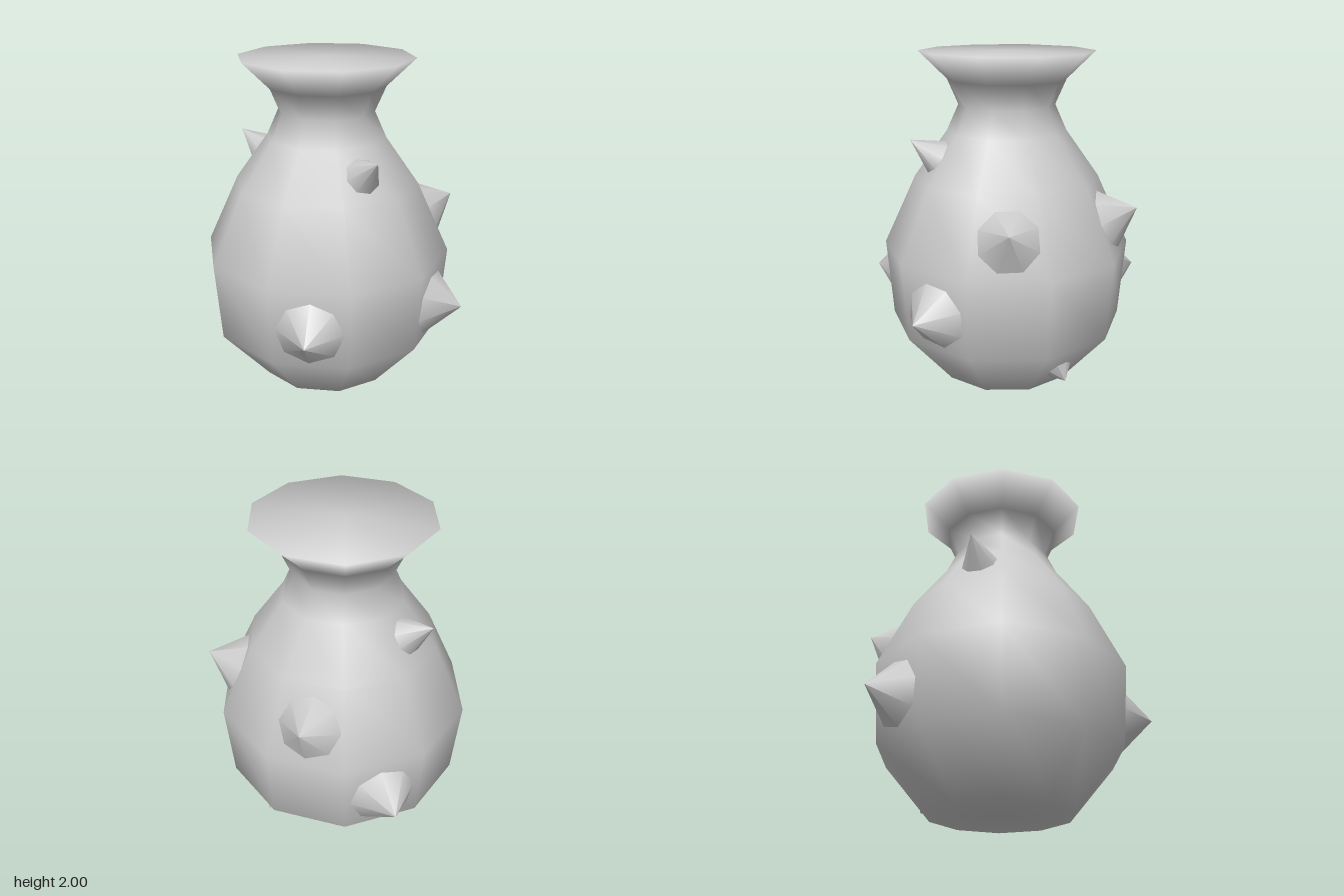
import * as THREE from 'three';
import { mergeVertices } from 'three/addons/utils/BufferGeometryUtils.js';

const rad = THREE.MathUtils.degToRad;
const SIDES = 10;
const CENTRE = new THREE.Vector3(-0.05, 0, -0.057);

// Weld a geometry so shading flows smoothly over every edge
function smooth(geometry) {
  geometry.deleteAttribute('uv');
  geometry.deleteAttribute('normal');
  const welded = mergeVertices(geometry, 1e-4);
  welded.computeVertexNormals();
  return welded;
}

export function createModel() {
  const model = new THREE.Group();
  model.name = 'spikedVase';
  const material = new THREE.MeshStandardMaterial({ color: 0xcccccc, side: THREE.DoubleSide });

  // Ten-sided pot with pinched neck and flared, closed mouth
  const profile = [
    [0, 0], [0.425, 0], [0.72, 0.345], [0.757, 0.825], [0.56, 1.25],
    [0.36, 1.53], [0.29, 1.685], [0.355, 1.835], [0.525, 2], [0, 2],
  ].map(([r, y]) => new THREE.Vector2(r, y));
  const body = new THREE.Mesh(smooth(new THREE.LatheGeometry(profile, SIDES, rad(20))), material);
  body.name = 'body';
  body.position.copy(CENTRE);
  model.add(body);

  // A spike stands on the middle of a facet: heading is around the pot,
  // tilt is how far its axis leans up, radius/reach give its size
  function addSpike(name, heading, r, y, tilt, radius, reach) {
    const geometry = new THREE.ConeGeometry(radius, reach, 8);
    geometry.translate(0, reach / 2, 0);
    const spike = new THREE.Mesh(geometry, material);
    const a = rad(heading), t = rad(tilt);
    const axis = new THREE.Vector3(Math.cos(a) * Math.cos(t), Math.sin(t), Math.sin(a) * Math.cos(t));
    spike.quaternion.setFromUnitVectors(new THREE.Vector3(0, 1, 0), axis);
    spike.position.set(Math.cos(a) * r, y, Math.sin(a) * r).add(CENTRE);
    spike.name = name;
    model.add(spike);
  }

  // Large spikes around the belly
  for (const heading of [16, 88, 232]) addSpike('bellySpike', heading, 0.695, 0.575, 0, 0.205, 0.2);
  // Spikes above the belly
  for (const heading of [-20, -92]) addSpike('upperSpike', heading, 0.622, 1.025, 25, 0.19, 0.2);
  // Small spikes on the shoulder
  for (const heading of [52, 196]) addSpike('shoulderSpike', heading, 0.43, 1.39, 35, 0.11, 0.2);
  // Half-sunk spike under the belly
  addSpike('lowerSpike', -56, 0.435, 0.228, -40, 0.2, 0.2);

  return model;
}
